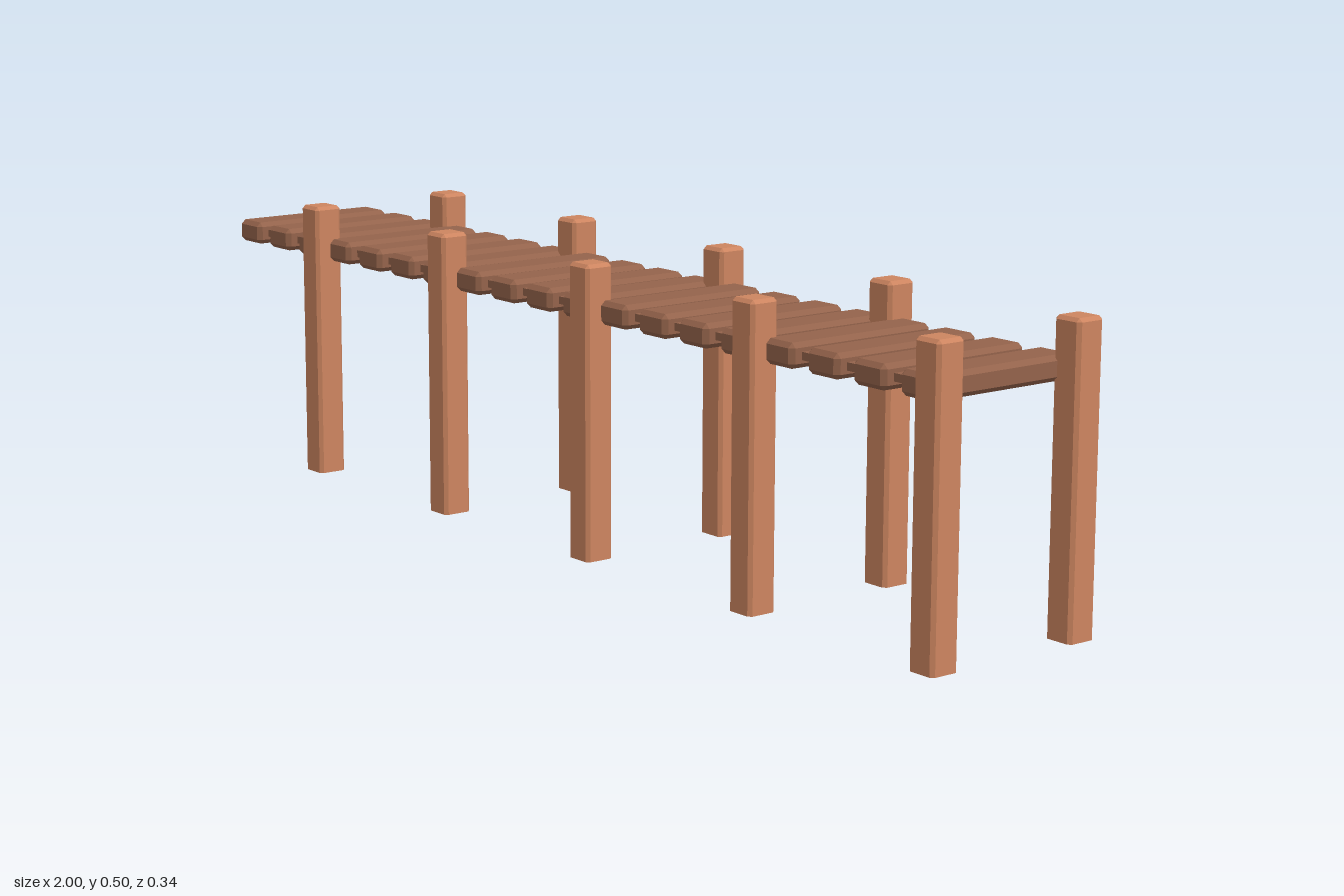
import * as THREE from 'three';
import { ConvexGeometry } from 'three/addons/geometries/ConvexGeometry.js';

const postMat = new THREE.MeshStandardMaterial({ color: 0xcd8560, flatShading: true, side: THREE.DoubleSide });
const plankMat = new THREE.MeshStandardMaterial({ color: 0x94634b, flatShading: true });

// Box with every edge and corner chamfered by c; bottom chamfer is optional
function chamferBox(w, h, d, c, bevelBottom = true) {
  const points = [];
  const x = w / 2, y = h / 2, z = d / 2;
  for (const sx of [-1, 1]) for (const sy of [-1, 1]) for (const sz of [-1, 1]) {
    const flat = sy < 0 && !bevelBottom;
    const sideY = flat ? y : y - c;
    points.push(new THREE.Vector3(sx * x, sy * sideY, sz * (z - c)));
    points.push(new THREE.Vector3(sx * (x - c), sy * sideY, sz * z));
    if (!flat) points.push(new THREE.Vector3(sx * (x - c), sy * y, sz * (z - c)));
  }
  return new ConvexGeometry(points);
}

// Remove the triangles lying on the bottom plane
function openBottom(geometry, y) {
  const p = geometry.attributes.position.array;
  const kept = [];
  for (let i = 0; i < p.length; i += 9) {
    if (Math.max(p[i + 1], p[i + 4], p[i + 7]) > y + 1e-4) kept.push(...p.slice(i, i + 9));
  }
  const result = new THREE.BufferGeometry();
  result.setAttribute('position', new THREE.Float32BufferAttribute(kept, 3));
  result.computeVertexNormals();
  return result;
}

function addMesh(parent, name, geometry, material, x, y, z) {
  const mesh = new THREE.Mesh(geometry, material);
  mesh.name = name;
  mesh.position.set(x, y, z);
  parent.add(mesh);
}

export function createModel() {
  const dock = new THREE.Group();
  dock.name = 'dock';

  // Paired support posts, hollow underneath
  const posts = new THREE.Group();
  posts.name = 'posts';
  const postHeight = 0.505;
  const postGeo = openBottom(chamferBox(0.054, postHeight, 0.054, 0.006, false), -postHeight / 2);
  for (const x of [-0.7, -0.286, 0.133, 0.556, 0.973]) {
    for (const z of [-0.143, 0.143]) addMesh(posts, 'post', postGeo, postMat, x, postHeight / 2, z);
  }

  // Deck planks, evenly spaced
  const planks = new THREE.Group();
  planks.name = 'planks';
  const plankGeo = chamferBox(0.072, 0.041, 0.294, 0.008);
  for (let i = 0; i < 19; i++) addMesh(planks, 'plank', plankGeo, plankMat, -0.964 + i * 0.1047, 0.4225, -0.006);

  // Thin rails threading through the planks
  const rails = new THREE.Group();
  rails.name = 'rails';
  const railGeo = new THREE.BoxGeometry(1.89, 0.013, 0.042);
  for (const z of [-0.115, 0.099]) addMesh(rails, 'rail', railGeo, plankMat, -0.022, 0.422, z);

  dock.add(posts, planks, rails);
  return dock;
}
